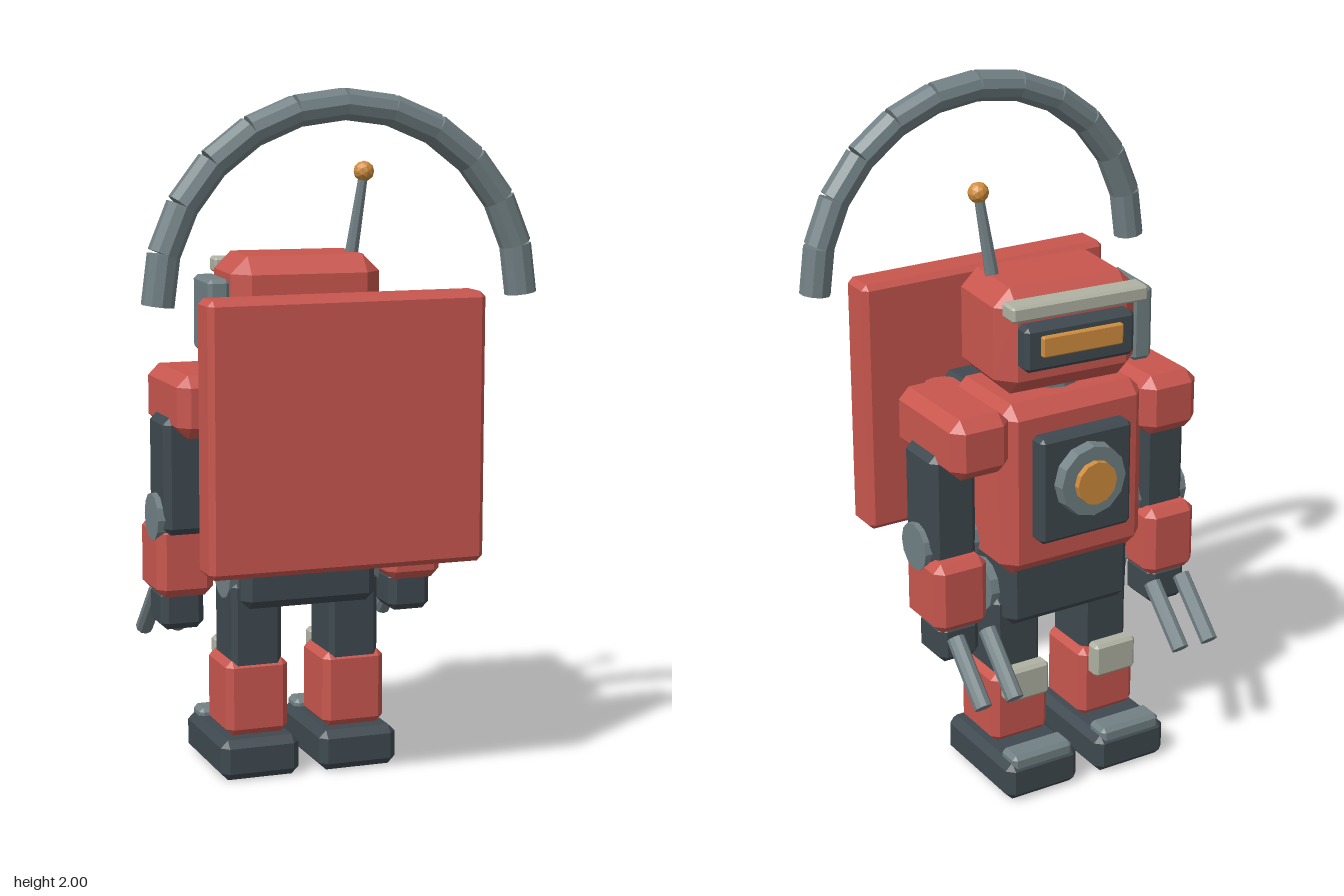
import * as THREE from 'three';
import { ConvexGeometry } from 'three/addons/geometries/ConvexGeometry.js';

const paint = (name, color) => {
  const m = new THREE.MeshStandardMaterial({ color, flatShading: true });
  m.name = name;
  return m;
};

export function createModel() {
  const red = paint('red paint', 0xc8564e);
  const dark = paint('dark metal', 0x3e494f);
  const steel = paint('steel', 0x718084);
  const pale = paint('pale trim', 0xb0b2a3);
  const amber = paint('amber', 0xcf8d3e);

  const robot = new THREE.Group();
  robot.name = 'robot';

  const add = (parent, name, geometry, material, x, y, z) => {
    const mesh = new THREE.Mesh(geometry, material);
    mesh.name = name;
    mesh.position.set(x, y, z);
    parent.add(mesh);
    return mesh;
  };

  // Box with every edge and corner cut by c
  const block = (parent, name, material, [w, h, d], [x, y, z], c = 0.015) => {
    const points = [];
    for (const i of [-1, 1]) for (const j of [-1, 1]) for (const k of [-1, 1]) {
      const [a, b, e] = [w / 2, h / 2, d / 2];
      points.push(
        new THREE.Vector3(i * a, j * (b - c), k * (e - c)),
        new THREE.Vector3(i * (a - c), j * b, k * (e - c)),
        new THREE.Vector3(i * (a - c), j * (b - c), k * e));
    }
    return add(parent, name, new ConvexGeometry(points), material, x, y, z);
  };

  // Cylinder running between two points
  const UP = new THREE.Vector3(0, 1, 0);
  const rod = (parent, name, material, from, to, r0, r1 = r0, sides = 10) => {
    const a = new THREE.Vector3(...from), b = new THREE.Vector3(...to);
    const dir = b.clone().sub(a);
    const mid = a.clone().add(b).multiplyScalar(0.5);
    const mesh = add(parent, name, new THREE.CylinderGeometry(r1, r0, dir.length(), sides), material, mid.x, mid.y, mid.z);
    mesh.quaternion.setFromUnitVectors(UP, dir.normalize());
    return mesh;
  };

  // Torso, chest lamp, neck and pelvis
  block(robot, 'torso', red, [0.47, 0.52, 0.33], [0, 0.94, -0.07], 0.04);
  block(robot, 'chestPlate', dark, [0.3, 0.32, 0.07], [0, 0.95, -0.25], 0.012);
  rod(robot, 'lampRing', steel, [0, 0.97, -0.27], [0, 0.97, -0.32], 0.112, 0.105, 12);
  rod(robot, 'lamp', amber, [0, 0.97, -0.3], [0, 0.97, -0.339], 0.064, 0.064, 12);
  rod(robot, 'neck', steel, [0, 1.17, -0.07], [0, 1.24, -0.07], 0.09, 0.09, 12);
  block(robot, 'pelvis', dark, [0.41, 0.22, 0.26], [0, 0.615, -0.07], 0.025);

  // Head, turned slightly to one side
  const head = new THREE.Group();
  head.name = 'head';
  head.position.set(0, 1.37, -0.07);
  head.rotation.y = -0.07;
  robot.add(head);
  block(head, 'skull', red, [0.44, 0.31, 0.3], [0, 0, 0], 0.05);
  block(head, 'facePlate', dark, [0.34, 0.13, 0.07], [0, 0, -0.165], 0.012);
  block(head, 'eyeSlot', amber, [0.25, 0.06, 0.03], [0, 0.01, -0.2], 0.004);
  block(head, 'brow', pale, [0.42, 0.045, 0.07], [0, 0.11, -0.165], 0.007);
  block(head, 'earBox', steel, [0.065, 0.22, 0.195], [-0.25, -0.02, -0.005], 0.012);

  // Antenna
  rod(robot, 'antennaRod', steel, [0.152, 1.5, -0.028], [0.185, 1.755, -0.008], 0.021, 0.014, 8);
  add(robot, 'antennaTip', new THREE.IcosahedronGeometry(0.03, 1), amber, 0.185, 1.757, -0.008);

  // Arms and legs, mirrored
  for (const s of [1, -1]) {
    const arm = new THREE.Group();
    arm.name = s > 0 ? 'leftArm' : 'rightArm';
    robot.add(arm);
    block(arm, 'shoulderPad', red, [0.185, 0.18, 0.355], [s * 0.312, 1.11, -0.075], 0.033);
    block(arm, 'upperArm', dark, [0.145, 0.34, 0.17], [s * 0.352, 0.9, -0.07], 0.02);
    rod(arm, 'elbow', steel, [s * 0.268, 0.775, -0.07], [s * 0.442, 0.775, -0.07], 0.07, 0.07, 12);
    block(arm, 'forearm', red, [0.17, 0.215, 0.195], [s * 0.355, 0.65, -0.105], 0.025);
    block(arm, 'hand', dark, [0.13, 0.12, 0.14], [s * 0.355, 0.5, -0.113], 0.02);
    for (const x of [0.283, 0.386])
      rod(arm, 'finger', steel, [s * x, 0.53, -0.205], [s * x, 0.378, -0.358], 0.026);

    const leg = new THREE.Group();
    leg.name = s > 0 ? 'leftLeg' : 'rightLeg';
    robot.add(leg);
    rod(leg, 'hip', steel, [s * 0.08, 0.6, -0.065], [s * 0.232, 0.6, -0.065], 0.08, 0.08, 12);
    block(leg, 'thigh', dark, [0.152, 0.27, 0.175], [s * 0.15, 0.445, -0.068], 0.015);
    block(leg, 'shin', red, [0.19, 0.225, 0.2], [s * 0.15, 0.235, -0.075], 0.02);
    block(leg, 'kneePad', pale, [0.14, 0.105, 0.05], [s * 0.15, 0.322, -0.192], 0.01);
    block(leg, 'foot', dark, [0.24, 0.12, 0.37], [s * 0.152, 0.06, -0.122], 0.022);
    block(leg, 'toeCap', steel, [0.2, 0.05, 0.08], [s * 0.152, 0.117, -0.262], 0.012);
  }

  // Backpack with a canister on each side
  block(robot, 'backpack', dark, [0.32, 0.4, 0.18], [0, 0.945, 0.172], 0.018);
  for (const s of [1, -1]) {
    rod(robot, 'canister', steel, [s * 0.2, 0.765, 0.175], [s * 0.2, 1.1, 0.175], 0.06, 0.06, 12);
    rod(robot, 'canisterCap', red, [s * 0.2, 1.09, 0.175], [s * 0.2, 1.135, 0.175], 0.064, 0.06, 12);
  }

  // Large panel behind the backpack
  block(robot, 'backPanel', red, [0.81, 0.765, 0.115], [0, 1.058, 0.322], 0.016);

  // Segmented hose arching over the panel
  const hose = new THREE.Group();
  hose.name = 'hose';
  robot.add(hose);
  const segments = 12, radius = 0.53;
  const joint = (i) => {
    const t = Math.PI * i / segments;
    return [radius * Math.cos(t), 1.427 + radius * Math.sin(t), 0.323];
  };
  for (let i = 0; i < segments; i++)
    rod(hose, 'hoseSegment', steel, joint(i), joint(i + 1), 0.045);

  return robot;
}
